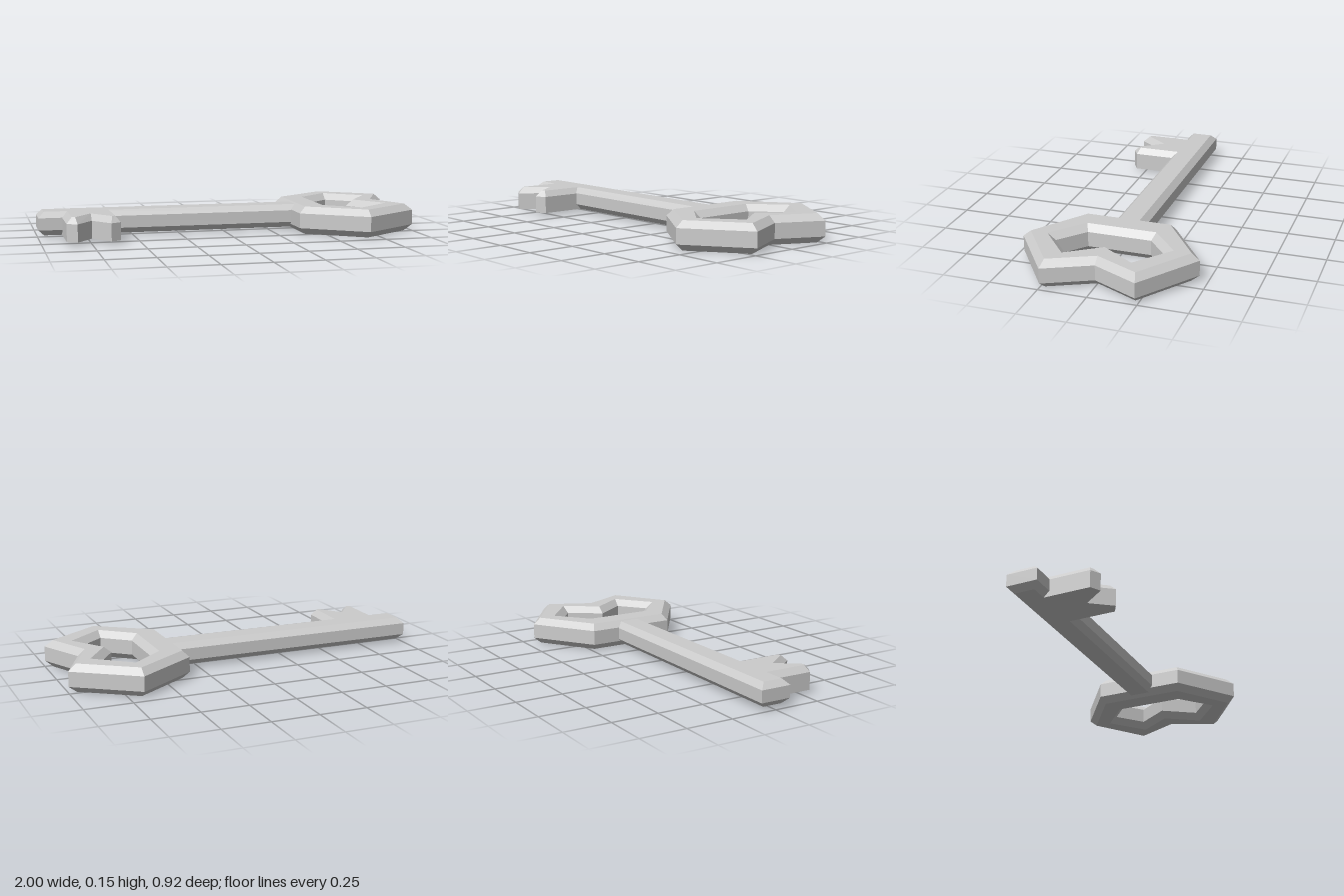
import * as THREE from 'three';

const material = new THREE.MeshStandardMaterial({ color: 0xcccccc, flatShading: true });
const toVectors = (points) => points.map(([x, y]) => new THREE.Vector2(x, y));

// Flat plate lying on the ground plane from y0 to y1, chamfered inside its outline
function chamferedPlate(name, outline, hole, y0, y1, bevel) {
  const shape = new THREE.Shape(toVectors(outline));
  if (hole) shape.holes.push(new THREE.Path(toVectors(hole)));
  const geometry = new THREE.ExtrudeGeometry(shape, {
    depth: y1 - y0 - 2 * bevel,
    bevelSegments: 1,
    bevelThickness: bevel,
    bevelSize: bevel,
    bevelOffset: -bevel,
  });
  geometry.rotateX(-Math.PI / 2).translate(0, y0 + bevel, 0);
  const mesh = new THREE.Mesh(geometry, material);
  mesh.name = name;
  return mesh;
}

// Solid through stacked outlines of (x, z) points, bottom to top, with both ends capped
function stackedSolid(name, layers) {
  const positions = [];
  const put = (layer, i) => {
    const [x, z] = layer.points[i % layer.points.length];
    positions.push(x, layer.y, z);
  };
  for (let k = 0; k < layers.length - 1; k++) {
    const low = layers[k], high = layers[k + 1];
    for (let i = 0; i < low.points.length; i++) {
      put(low, i); put(low, i + 1); put(high, i + 1);
      put(low, i); put(high, i + 1); put(high, i);
    }
  }
  const cap = (layer, flip) => {
    const flat = layer.points.map(([x, z]) => new THREE.Vector2(x, -z));
    for (const [a, b, c] of THREE.ShapeUtils.triangulateShape(flat, [])) {
      (flip ? [c, b, a] : [a, b, c]).forEach((i) => put(layer, i));
    }
  };
  cap(layers[0], true);
  cap(layers[layers.length - 1], false);
  const geometry = new THREE.BufferGeometry();
  geometry.setAttribute('position', new THREE.Float32BufferAttribute(positions, 3));
  geometry.computeVertexNormals();
  const mesh = new THREE.Mesh(geometry, material);
  mesh.name = name;
  return mesh;
}

// Notched hexagon, mirrored across its long axis
const bowOutline = (left, side, mid, tip, right, corner, notch) => [
  [left, -side], [mid, -tip], [right, -corner], [notch, 0],
  [right, corner], [mid, tip], [left, side],
];

// Two-toothed outline, mirrored across x = centre
function bitOutline(edge, edgeZ, tip, tipZ, valleyZ) {
  const centre = -0.74, rootZ = 0.05;
  const half = [[edge, rootZ], [edge, edgeZ], [tip, tipZ]];
  const mirrored = half.map(([d, z]) => [centre + d, z]).reverse();
  return [...half.map(([d, z]) => [centre - d, z]), [centre, valleyZ], ...mirrored];
}

export function createModel() {
  const key = new THREE.Group();
  key.name = 'key';

  // Bow: the ring-shaped handle
  key.add(chamferedPlate(
    'bow',
    bowOutline(0.362, 0.24, 0.68, 0.46, 1, 0.24, 0.885),
    bowOutline(0.54, 0.168, 0.68, 0.285, 0.822, 0.17, 0.705),
    0, 0.147, 0.034,
  ));

  // Shaft, running into the bow
  key.add(chamferedPlate(
    'shaft',
    [[-1, -0.083], [0.44, -0.083], [0.44, 0.083], [-1, 0.083]],
    null, 0.016, 0.14, 0.03,
  ));

  // Bit: straight below, chamfered on top only
  const bitSide = bitOutline(0.137, 0.3, 0.085, 0.33, 0.216);
  const bitTop = bitOutline(0.109, 0.284, 0.093, 0.294, 0.172);
  key.add(stackedSolid('bit', [
    { y: 0.016, points: bitSide },
    { y: 0.108, points: bitSide },
    { y: 0.14, points: bitTop },
  ]));

  return key;
}
